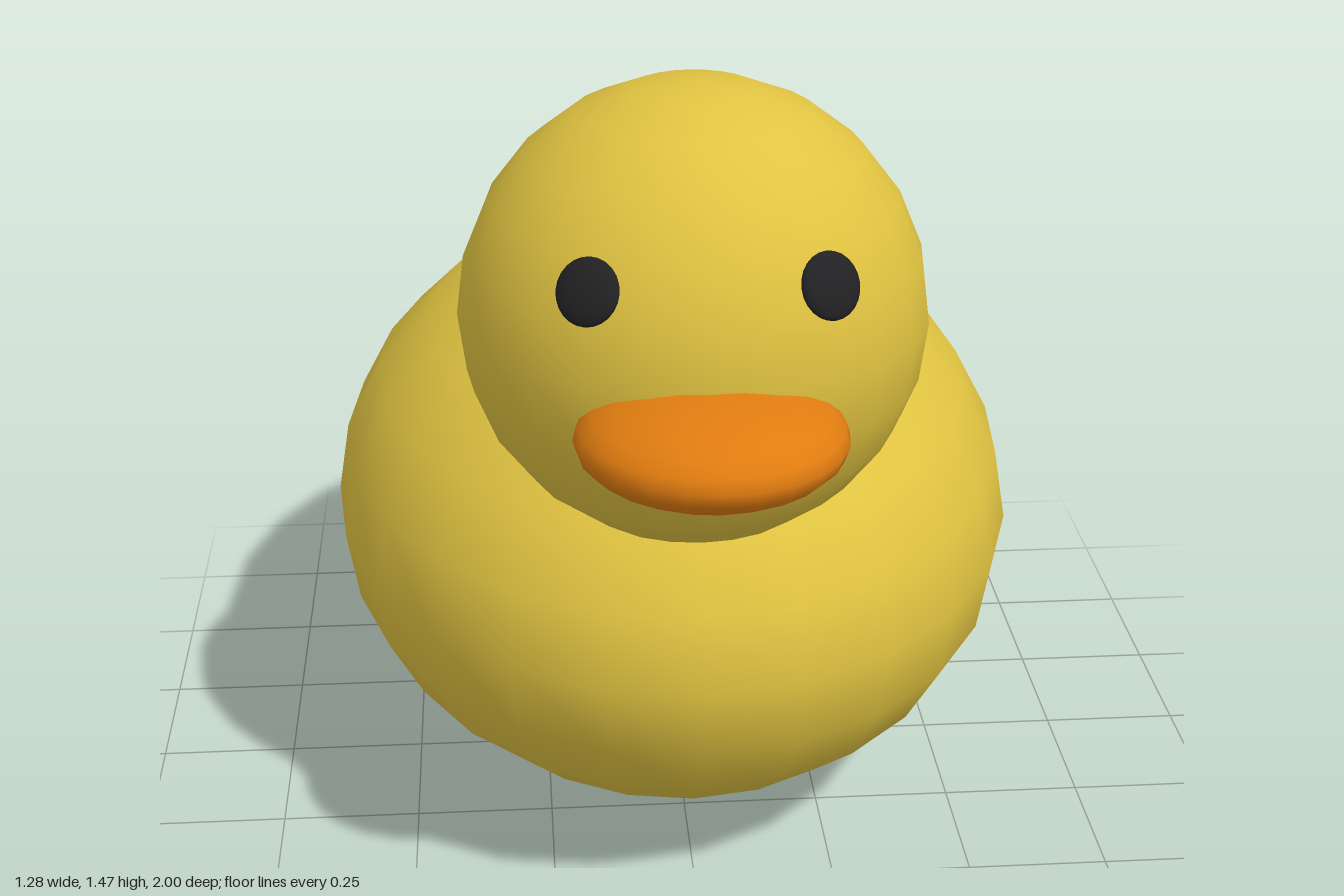
import * as THREE from 'three';

export function createModel() {
  const duck = new THREE.Group();
  duck.name = 'toyDuck';

  const paint = (name, color) => {
    const material = new THREE.MeshStandardMaterial({ color });
    material.name = name;
    return material;
  };
  const yellow = paint('yellow', 0xe0c341);
  const orange = paint('orange', 0xe07c10);
  const black = paint('black', 0x222224);

  // Smooth ellipsoid from a sphere, sized by its three radii
  const ellipsoid = (name, material, radii, position) => {
    const geometry = new THREE.SphereGeometry(1, 24, 12).scale(...radii);
    const mesh = new THREE.Mesh(geometry, material);
    mesh.name = name;
    mesh.position.set(...position);
    duck.add(mesh);
    return mesh;
  };

  ellipsoid('body', yellow, [0.64, 0.5, 0.858], [0, 0.5, -0.142]);
  const head = ellipsoid('head', yellow, [0.39, 0.39, 0.39], [0, 1.075, 0.428]);
  ellipsoid('beak', orange, [0.214, 0.085, 0.214], [0, 1, 0.786]);

  // Flattened eyes lying on the surface of the head
  for (const [name, side] of [['leftEye', 1], ['rightEye', -1]]) {
    const outward = new THREE.Vector3(side * 0.188, 0.15, 0.31).normalize();
    const position = head.position.clone().addScaledVector(outward, 0.387);
    const eye = ellipsoid(name, black, [0.054, 0.054, 0.018], position.toArray());
    eye.quaternion.setFromUnitVectors(new THREE.Vector3(0, 0, 1), outward);
  }

  return duck;
}
